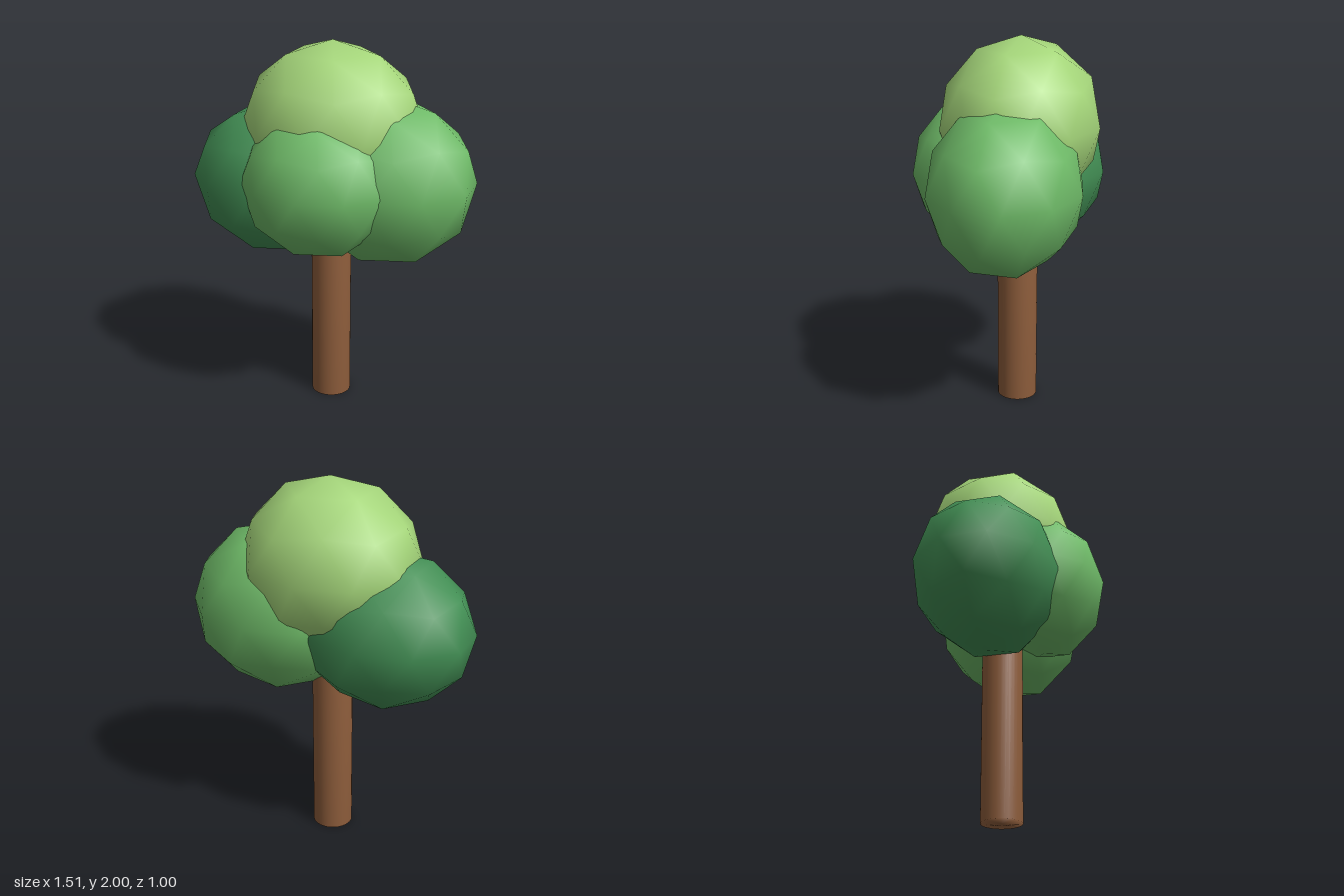
import * as THREE from 'three';
import { mergeVertices } from 'three/addons/utils/BufferGeometryUtils.js';

// Foliage clumps: name, colour, centre, radii
const CLUMPS = [
  ['topFoliage', 0xa5d67a, [0, 1.545, -0.078], [0.487, 0.455, 0.422]],
  ['leftFoliage', 0x6fbb68, [0.293, 1.27, -0.092], [0.487, 0.455, 0.398]],
  ['rightFoliage', 0x439055, [-0.305, 1.235, -0.067], [0.475, 0.42, 0.388]],
  ['frontFoliage', 0x6fbb68, [0.003, 1.29, 0.165], [0.407, 0.385, 0.332]],
];

function addMesh(parent, name, geometry, color) {
  const mesh = new THREE.Mesh(geometry, new THREE.MeshStandardMaterial({ color }));
  mesh.name = name;
  parent.add(mesh);
  return mesh;
}

// Low-poly icosphere with a vertex at each pole, stretched to an ellipsoid
function clumpGeometry(radii) {
  const geometry = new THREE.IcosahedronGeometry(1, 1);
  geometry.rotateZ(-Math.atan(2 / (1 + Math.sqrt(5))));
  geometry.scale(...radii);
  return geometry;
}

// Cylinder with normals smoothed over the rim
function trunkGeometry(radius, height) {
  const geometry = new THREE.CylinderGeometry(radius, radius, height, 32);
  geometry.deleteAttribute('normal');
  geometry.deleteAttribute('uv');
  const smooth = mergeVertices(geometry);
  smooth.computeVertexNormals();
  return smooth;
}

export function createModel() {
  const tree = new THREE.Group();
  tree.name = 'tree';

  const trunkHeight = 1.2;
  const trunk = addMesh(tree, 'trunk', trunkGeometry(0.108, trunkHeight), 0x8f5e3c);
  trunk.position.set(0, trunkHeight / 2, -0.063);

  const crown = new THREE.Group();
  crown.name = 'crown';
  tree.add(crown);
  for (const [name, color, centre, radii] of CLUMPS) {
    addMesh(crown, name, clumpGeometry(radii), color).position.set(...centre);
  }
  return tree;
}
